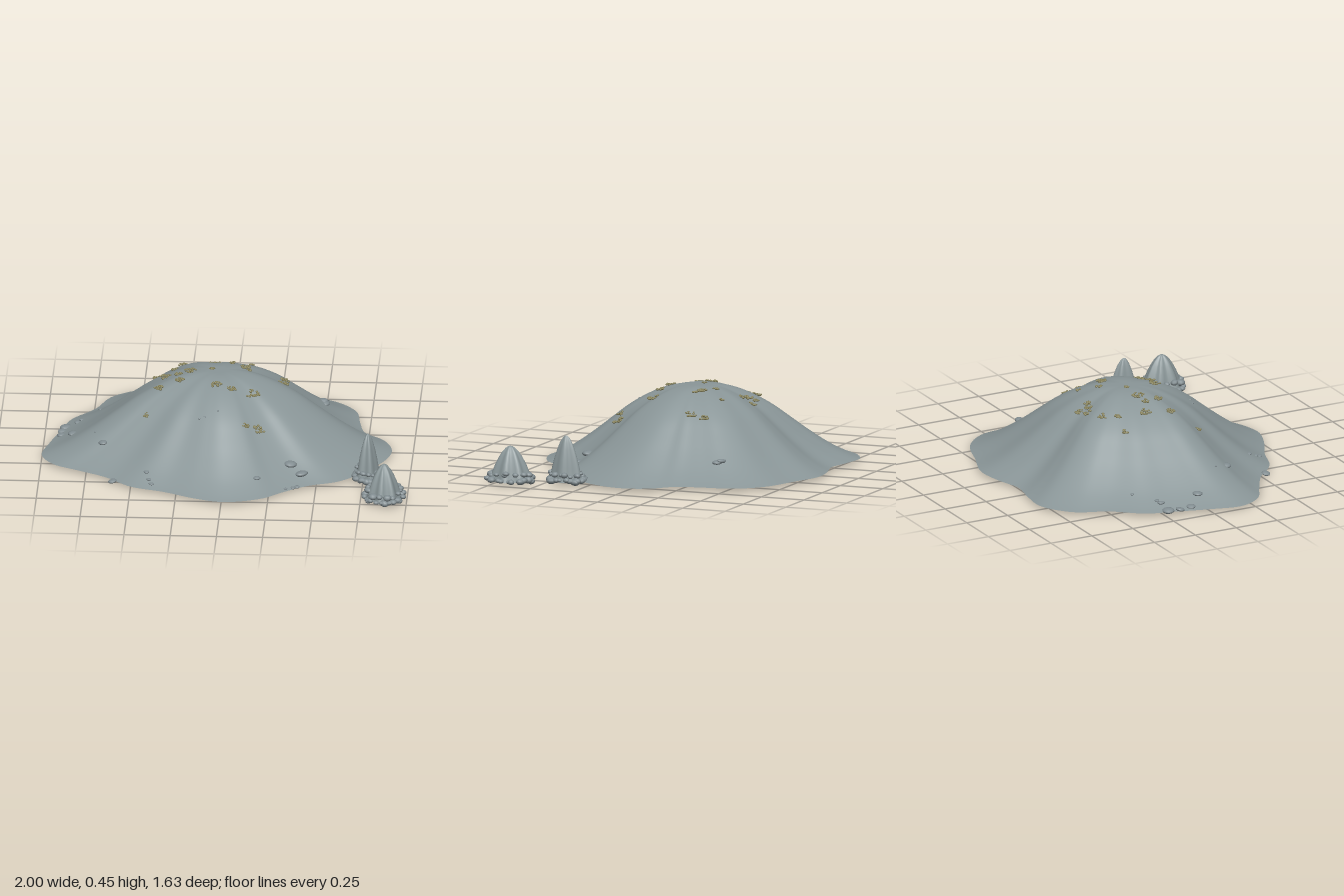
import * as THREE from 'three';
import { mergeGeometries, mergeVertices } from 'three/addons/utils/BufferGeometryUtils.js';

const material = (name, color, side = THREE.FrontSide) => {
  const m = new THREE.MeshStandardMaterial({ color, side });
  m.name = name;
  return m;
};

let seed = 7;
const rand = (a = 0, b = 1) => {
  seed = (seed * 16807) % 2147483647;
  return a + (b - a) * (seed / 2147483647);
};

// Mound outline seen from above: x, z pairs
const OUTLINE = [
  0.885, 0, 0.865, 0.13, 0.765, 0.31, 0.62, 0.47, 0.46, 0.54, 0.326, 0.64, 0.22, 0.735, 0.016, 0.797,
  -0.14, 0.755, -0.315, 0.668, -0.5, 0.6, -0.636, 0.475, -0.797, 0.38, -0.93, 0.3, -1, 0.17,
  -0.968, 0, -0.914, -0.187, -0.866, -0.348, -0.743, -0.508, -0.663, -0.684, -0.5, -0.795,
  -0.342, -0.79, -0.18, -0.765, -0.02, -0.807, 0.14, -0.823, 0.326, -0.76, 0.54, -0.68,
  0.663, -0.545, 0.695, -0.374, 0.727, -0.24, 0.834, -0.134,
];
const APEX = { x: -0.05, z: -0.04 };
const SEGMENTS = 180, RINGS = 32;

// Height from apex (t = 0) to rim (t = 1)
const PROFILE = [[0, 0.45], [0.1, 0.449], [0.2, 0.434], [0.33, 0.39], [0.46, 0.325], [0.58, 0.247],
  [0.71, 0.162], [0.84, 0.087], [0.95, 0.038], [1, 0.022]];
function profileHeight(t) {
  if (t >= 1) return 0.022;
  const i = PROFILE.findIndex((p) => p[0] > t) - 1;
  const at = (k) => PROFILE[Math.min(PROFILE.length - 1, Math.max(0, k))];
  const slope = (k) => (at(k + 1)[1] - at(k - 1)[1]) / (at(k + 1)[0] - at(k - 1)[0]);
  const [t0, h0] = at(i), [t1, h1] = at(i + 1), d = t1 - t0, s = (t - t0) / d;
  const m0 = i === 0 ? 0 : slope(i), m1 = slope(i + 1);
  return h0 * (2 * s ** 3 - 3 * s * s + 1) + m0 * d * (s ** 3 - 2 * s * s + s)
    + h1 * (3 * s * s - 2 * s ** 3) + m1 * d * (s ** 3 - s * s);
}

const rimPoints = [];
for (let i = 0; i < OUTLINE.length; i += 2) rimPoints.push(new THREE.Vector3(OUTLINE[i], 0, OUTLINE[i + 1]));
const RIM = new THREE.CatmullRomCurve3(rimPoints, true, 'centripetal').getSpacedPoints(SEGMENTS).slice(0, SEGMENTS);

// Mound height under any x, z
function heightAt(x, z) {
  const dx = x - APEX.x, dz = z - APEX.z, r = Math.hypot(dx, dz);
  if (r < 1e-4) return 0.45;
  let best = -2, radius = 1;
  for (const p of RIM) {
    const px = p.x - APEX.x, pz = p.z - APEX.z, l = Math.hypot(px, pz);
    const c = (px * dx + pz * dz) / (l * r);
    if (c > best) { best = c; radius = l; }
  }
  return profileHeight(r / radius);
}

// Open shell whose rings are scaled copies of the outline
function moundGeometry() {
  const pos = [APEX.x, 0.45, APEX.z], index = [];
  for (let j = 1; j <= RINGS; j++) {
    const t = j / RINGS, y = profileHeight(t);
    for (const p of RIM) pos.push(APEX.x + (p.x - APEX.x) * t, y, APEX.z + (p.z - APEX.z) * t);
  }
  const id = (j, i) => 1 + (j - 1) * SEGMENTS + (i % SEGMENTS);
  for (let i = 0; i < SEGMENTS; i++) {
    index.push(0, id(1, i + 1), id(1, i));
    for (let j = 1; j < RINGS; j++) {
      const a = id(j, i), b = id(j, i + 1), c = id(j + 1, i), d = id(j + 1, i + 1);
      index.push(a, b, c, b, d, c);
    }
  }
  const g = new THREE.BufferGeometry();
  g.setAttribute('position', new THREE.Float32BufferAttribute(pos, 3));
  g.setIndex(index);
  g.computeVertexNormals();
  return g;
}

// Rounded, slightly irregular pebble
function pebble(x, y, z, r, flat) {
  const g = new THREE.SphereGeometry(r, 10, 7);
  g.scale(rand(0.85, 1.15), flat, rand(0.85, 1.15));
  g.rotateX(rand(-0.25, 0.25));
  g.rotateY(rand(0, 6.28));
  g.translate(x, y, z);
  return g;
}

// Fluted bell-shaped spire
function spireGeometry(rx, rz, height, flutes) {
  const pts = [[1.08, 0], [1, 0.1], [0.88, 0.3], [0.74, 0.5], [0.56, 0.7], [0.4, 0.84], [0.22, 0.95], [0.1, 0.99], [0, 1]]
    .map(([r, y]) => new THREE.Vector2(r, y));
  let g = new THREE.LatheGeometry(pts, 42);
  const p = g.attributes.position;
  for (let i = 0; i < p.count; i++) {
    const a = Math.atan2(p.getZ(i), p.getX(i));
    const k = 1 + 0.1 * Math.cos(flutes * a) + 0.05 * Math.sin(3 * a);
    p.setXYZ(i, p.getX(i) * k * rx, p.getY(i) * height, p.getZ(i) * k * rz);
  }
  g.deleteAttribute('uv');
  g.deleteAttribute('normal');
  g = mergeVertices(g, 1e-5);
  g.computeVertexNormals();
  return g;
}

export function createModel() {
  const model = new THREE.Group();
  model.name = 'rockyMound';
  const rock = material('moundRock', 0x8a9698, THREE.DoubleSide);
  const stone = material('looseStone', 0x828d91);
  const moss = material('dryMoss', 0x858058);
  const add = (name, geometry, mat, parent = model) => {
    const mesh = new THREE.Mesh(geometry, mat);
    mesh.name = name;
    parent.add(mesh);
  };

  add('mound', moundGeometry(), rock);

  // Loose stones on the slopes: x, z, radius
  const stones = [
    [0.49, -0.405, 0.028], [0.505, -0.385, 0.026], [-0.89, -0.225, 0.032], [-0.825, -0.235, 0.02],
    [-0.805, -0.25, 0.015], [-0.905, -0.16, 0.023], [-0.905, -0.095, 0.024], [-0.84, -0.02, 0.025],
    [-0.665, 0.25, 0.025], [-0.71, -0.35, 0.011], [-0.6, 0.525, 0.022], [-0.415, 0.52, 0.016],
    [-0.4, 0.57, 0.014], [-0.385, 0.6, 0.014], [0.185, 0.605, 0.021], [0.358, 0.433, 0.036],
    [0.42, 0.47, 0.034], [0.34, 0.605, 0.011], [0.38, 0.583, 0.014], [0.4, 0.568, 0.016],
    [-0.71, 0.16, 0.008], [-0.14, 0.32, 0.008], [-0.11, 0.32, 0.007], [-0.04, 0.3, 0.007],
  ];
  add('slopeStones', mergeGeometries(stones.map(([x, z, r]) => pebble(x, heightAt(x, z), z, r, 0.45))), stone);

  // Moss tufts near the summit: x, z, spread
  const tufts = [
    [-0.085, -0.345, 0.02], [-0.145, -0.33, 0.02], [-0.075, -0.29, 0.018], [-0.11, -0.3, 0.018],
    [-0.26, -0.295, 0.024], [-0.3, -0.22, 0.018], [-0.4, -0.23, 0.016], [-0.21, -0.05, 0.033],
    [-0.345, -0.075, 0.03], [-0.27, -0.035, 0.018], [-0.375, 0.065, 0.024], [-0.26, 0.045, 0.022],
    [-0.435, 0.2, 0.014], [-0.09, -0.055, 0.014], [-0.06, 0.13, 0.03], [0.025, 0.155, 0.024],
    [0.14, 0.15, 0.036], [0.185, 0.335, 0.03], [0.115, 0.35, 0.018], [0.295, -0.215, 0.026],
    [0.29, -0.14, 0.03], [0.085, -0.12, 0.026], [0.115, -0.245, 0.014], [0.01, -0.17, 0.018], [0.11, -0.09, 0.012],
  ];
  const blobs = [];
  for (const [cx, cz, spread] of tufts) {
    const y = heightAt(cx, cz), count = Math.round(spread * 850);
    for (let i = 0; i < count; i++) {
      const a = rand(0, 6.28), d = spread * Math.sqrt(rand());
      const x = cx + Math.cos(a) * d, z = cz + Math.sin(a) * d;
      const g = new THREE.IcosahedronGeometry(rand(0.004, 0.008), 1);
      g.scale(1, 0.7, 1);
      g.translate(x, Math.max(y, heightAt(x, z)) + 0.003, z);
      blobs.push(g);
    }
  }
  add('mossTufts', mergeGeometries(blobs), moss);

  // Two spires, each ringed with rubble
  const spires = [
    { name: 'tallSpire', x: 0.775, z: 0.385, rx: 0.058, rz: 0.085, h: 0.25, flutes: 5, reach: 0.014 },
    { name: 'wideSpire', x: 0.877, z: 0.67, rx: 0.085, rz: 0.105, h: 0.19, flutes: 7, reach: 0.024 },
  ];
  for (const s of spires) {
    const group = new THREE.Group();
    group.name = s.name;
    group.position.set(s.x, 0.02, s.z);
    model.add(group);
    add('spire', spireGeometry(s.rx, s.rz, s.h, s.flutes), rock, group);
    const rubble = [];
    for (let i = 0; i < 40; i++) {
      const a = (i / 40) * Math.PI * 2 + rand(-0.12, 0.12), upper = i % 3 === 0;
      const out = upper ? 0.003 : s.reach * rand(0.4, 1);
      const y = upper ? rand(0.03, 0.05) : rand(0.002, 0.015);
      const r = rand(0.012, 0.026);
      rubble.push(pebble(Math.cos(a) * (s.rx + out), y, Math.sin(a) * (s.rz + out), r, 0.72));
    }
    add('rubble', mergeGeometries(rubble), stone, group);
  }
  return model;
}
